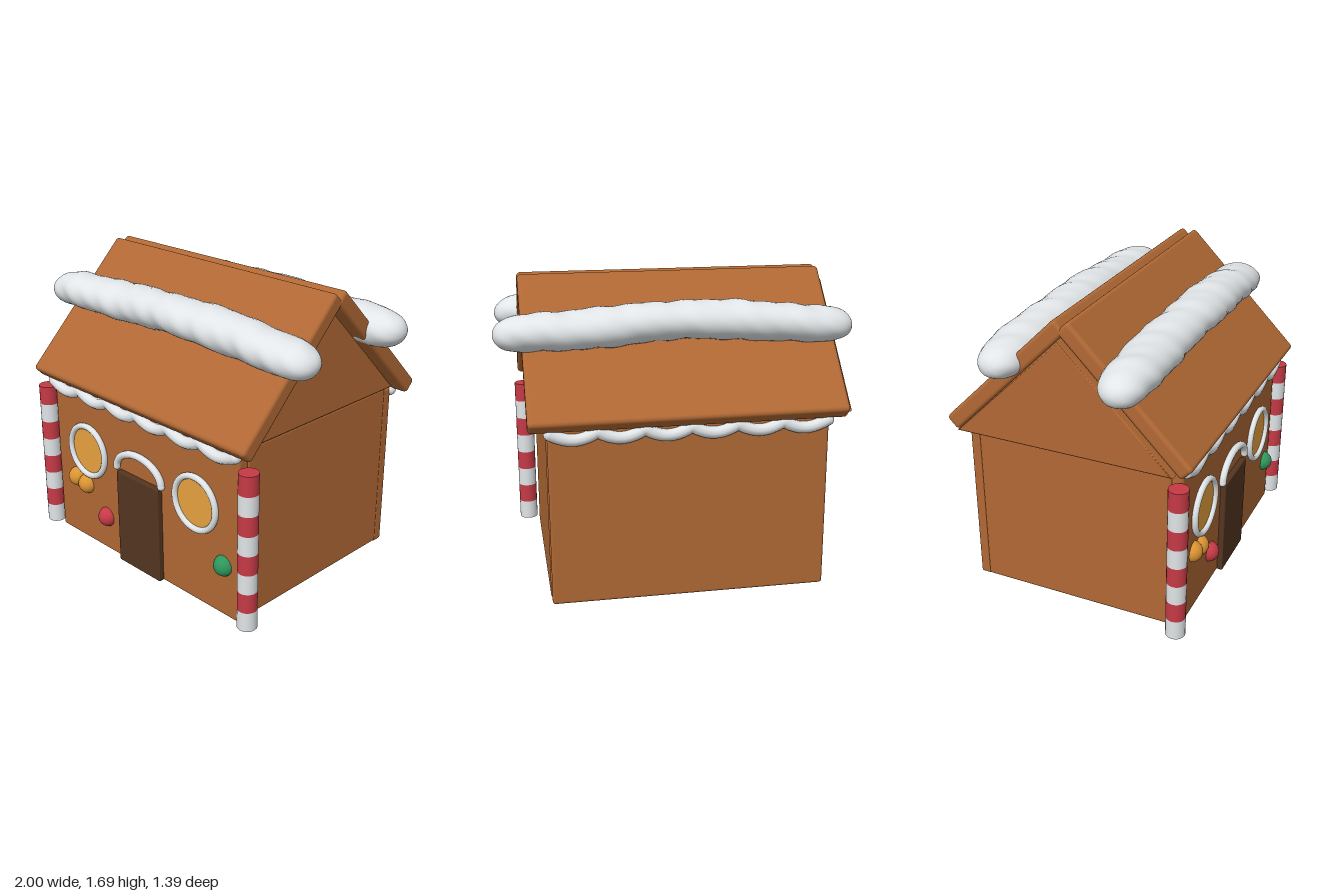
import * as THREE from 'three';
import { mergeVertices } from 'three/addons/utils/BufferGeometryUtils.js';
import { RoundedBoxGeometry } from 'three/addons/geometries/RoundedBoxGeometry.js';

const mat = (name, color) => {
  const m = new THREE.MeshStandardMaterial({ color });
  m.name = name;
  return m;
};

export function createModel() {
  const gingerbread = mat('gingerbread', 0xb06834);
  const icing = mat('icing', 0xe8ecee);
  const red = mat('candyRed', 0xc63a46);
  const chocolate = mat('chocolate', 0x543520);
  const pane = mat('windowSugar', 0xeda640);
  const orange = mat('candyOrange', 0xdc9432);
  const green = mat('candyGreen', 0x2f965c);

  const house = new THREE.Group();
  house.name = 'gingerbreadHouse';
  const add = (name, geometry, material, x = 0, y = 0, z = 0) => {
    const mesh = new THREE.Mesh(geometry, material);
    mesh.name = name;
    mesh.position.set(x, y, z);
    house.add(mesh);
    return mesh;
  };
  const slab = (w, h, d) => new RoundedBoxGeometry(w, h, d, 2, 0.016);

  // Four walls, open underneath
  add('frontWall', slab(1.5, 0.985, 0.07), gingerbread, 0.003, 0.505, 0.585);
  add('backWall', slab(1.5, 0.985, 0.07), gingerbread, 0.003, 0.505, -0.585);
  for (const s of [-1, 1]) {
    add(s > 0 ? 'leftWall' : 'rightWall', slab(0.07, 0.985, 1.12), gingerbread, s * 0.722, 0.515, 0);
  }

  // Triangular gables
  const triangle = new THREE.Shape([
    new THREE.Vector2(-0.6, 1.01), new THREE.Vector2(0.6, 1.01), new THREE.Vector2(0, 1.605),
  ]);
  const gable = (name, x0, x1) => {
    const b = 0.01;
    const geo = new THREE.ExtrudeGeometry(triangle, {
      depth: x1 - x0 - 2 * b, bevelEnabled: true, bevelSize: b, bevelThickness: b, bevelSegments: 2,
    });
    geo.rotateY(Math.PI / 2);
    add(name, geo, gingerbread, x0 + b, 0, 0);
  };
  gable('leftGable', 0.69, 0.765);
  gable('rightGable', -0.875, -0.79);

  // Roof slabs
  for (const s of [-1, 1]) {
    const roof = add(s > 0 ? 'frontRoof' : 'backRoof', new RoundedBoxGeometry(1.69, 0.092, 0.94, 3, 0.022),
      gingerbread, 0.007, 1.343, s * 0.338);
    roof.rotation.x = s * Math.PI / 4;
  }

  // Lumpy snow rolls lying along the roof
  const snowRoll = (halfLength, seed) => {
    const geo = new THREE.SphereGeometry(1, 36, 120);
    geo.deleteAttribute('uv');
    geo.deleteAttribute('normal');
    const p = geo.attributes.position;
    for (let i = 0; i < p.count; i++) {
      const u = THREE.MathUtils.clamp(p.getY(i), -1, 1);
      const a = Math.atan2(p.getZ(i), p.getX(i));
      const lump = 1 + 0.03 * Math.sin(9 * u + seed + 2 * a) + 0.025 * Math.sin(23 * u - seed * 2 + a)
        + 0.03 * Math.sin(41 * u + 3 * a + seed) * Math.cos(2 * a);
      const r = Math.sqrt(1 - Math.pow(Math.abs(u), 12)) * lump;
      const sway = 0.008 * Math.sin(5 * u + seed);
      p.setXYZ(i, halfLength * u,
        0.045 * (1 - u * u) + sway + 0.104 * r * Math.sin(a),
        sway + 0.14 * r * Math.cos(a));
    }
    const merged = mergeVertices(geo, 1e-5);
    merged.computeVertexNormals();
    return merged;
  };
  add('frontSnow', snowRoll(0.99, 0.4), icing, -0.01, 1.428, 0.34);
  add('backSnow', snowRoll(0.97, 2.1), icing, 0.03, 1.428, -0.345);

  // Icing strings: a tube with round ends
  const piped = (name, points, radius, segments) => {
    const curve = new THREE.CatmullRomCurve3(points);
    add(name, new THREE.TubeGeometry(curve, segments, radius, 10), icing);
    for (const e of [points[0], points[points.length - 1]]) {
      add(name + 'End', new THREE.SphereGeometry(radius, 10, 8), icing, e.x, e.y, e.z);
    }
  };

  // Scalloped icing below both eaves
  for (const s of [-1, 1]) {
    const pts = [];
    for (let i = 0; i <= 48; i++) {
      const t = i / 48;
      pts.push(new THREE.Vector3(-0.735 + 1.475 * t, 0.974 - 0.036 * Math.abs(Math.sin(Math.PI * 6 * t)), s * 0.632));
    }
    piped(s > 0 ? 'frontEaveIcing' : 'backEaveIcing', pts, 0.032, 120);
  }

  // Door with an icing arch
  add('door', new RoundedBoxGeometry(0.345, 0.575, 0.05, 2, 0.008), chocolate, 0.003, 0.303, 0.627);
  const arch = [];
  for (let i = 0; i <= 12; i++) {
    const a = Math.PI * (1 - i / 12);
    arch.push(new THREE.Vector3(0.003 + 0.185 * Math.cos(a), 0.61 + 0.117 * Math.sin(a), 0.635));
  }
  piped('doorArch', arch, 0.021, 40);

  // Round windows
  for (const s of [-1, 1]) {
    const disc = new THREE.CylinderGeometry(0.145, 0.145, 0.009, 36);
    disc.rotateX(Math.PI / 2);
    add('windowPane', disc, pane, s * 0.447, 0.612, 0.624);
    add('windowRing', new THREE.TorusGeometry(0.152, 0.018, 10, 40), icing, s * 0.447, 0.612, 0.633);
  }

  // Candy buttons
  const candies = [
    [-0.575, 0.4, orange], [-0.484, 0.384, orange], [-0.308, 0.231, red], [0.647, 0.318, green],
  ];
  for (const [x, y, m] of candies) {
    add('candy', new THREE.SphereGeometry(0.059, 24, 16), m, x, y, 0.614);
  }

  // Striped corner posts
  const band = 0.89 / 8;
  for (const s of [-1, 1]) {
    for (let i = 0; i < 8; i++) {
      add('candyPost', new THREE.CylinderGeometry(0.054, 0.054, band, 20), i % 2 ? red : icing,
        0.004 + s * 0.817, 0.03 + band * (i + 0.5), 0.622);
    }
  }

  return house;
}
